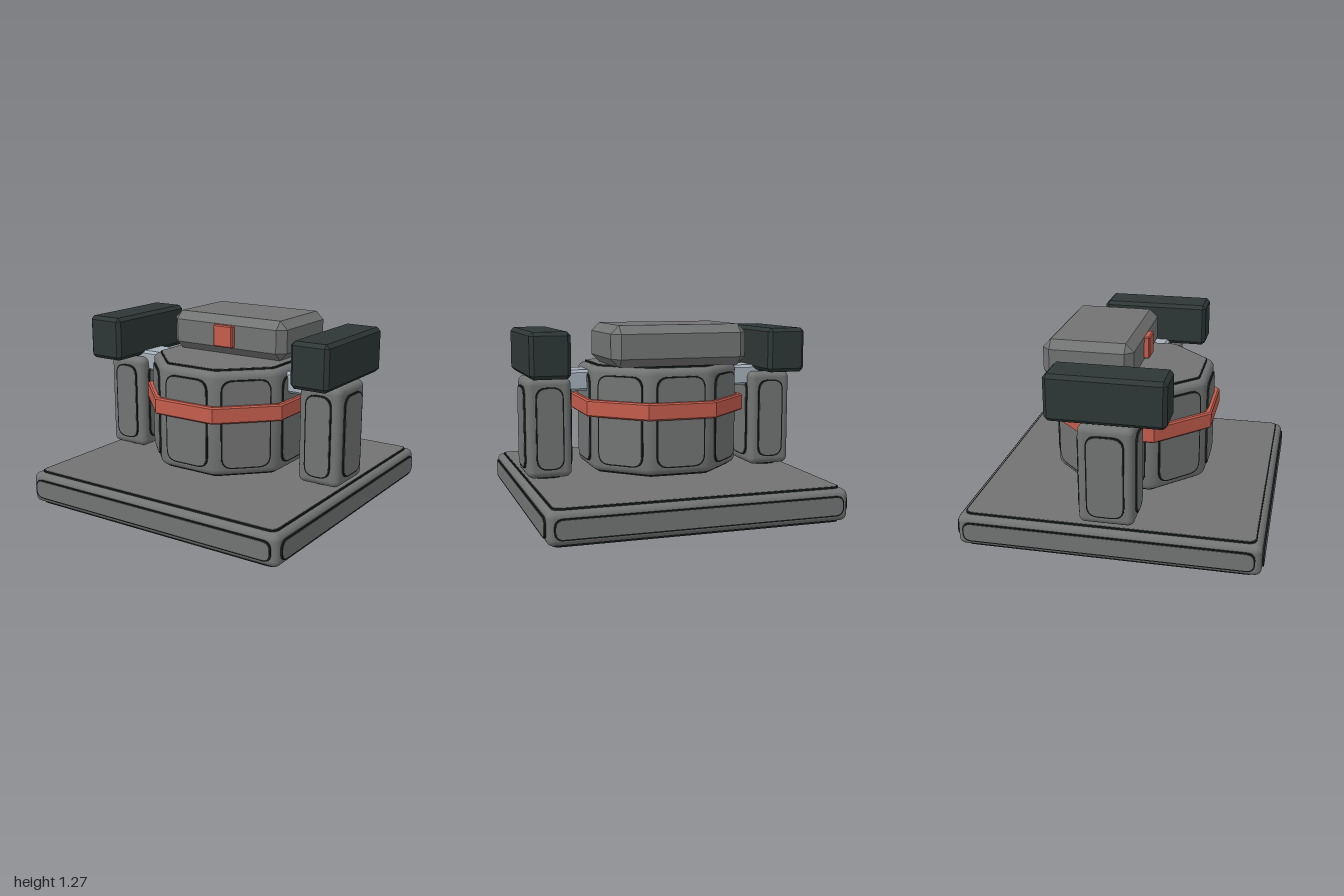
import * as THREE from 'three';
import { toCreasedNormals } from 'three/addons/utils/BufferGeometryUtils.js';
import { RoundedBoxGeometry } from 'three/addons/geometries/RoundedBoxGeometry.js';
import { ConvexGeometry } from 'three/addons/geometries/ConvexGeometry.js';

function material(name, color) {
  const m = new THREE.MeshStandardMaterial({ color });
  m.name = name;
  return m;
}

// Closed outline with softened corners
function roundedPoly(points, r) {
  const shape = new THREE.Shape();
  points.forEach((p, i) => {
    const before = points[(i + points.length - 1) % points.length];
    const after = points[(i + 1) % points.length];
    const a = p.clone().add(before.clone().sub(p).setLength(r));
    const b = p.clone().add(after.clone().sub(p).setLength(r));
    if (i === 0) shape.moveTo(a.x, a.y);
    else shape.lineTo(a.x, a.y);
    shape.quadraticCurveTo(p.x, p.y, b.x, b.y);
  });
  shape.closePath();
  return shape;
}

function rectPoints(w, h) {
  return [[-1, -1], [1, -1], [1, 1], [-1, 1]].map(([x, y]) => new THREE.Vector2(x * w / 2, y * h / 2));
}

// Octagon given by the distance from its centre to its flats
function octagonPoints(apothem) {
  const radius = apothem / Math.cos(Math.PI / 8);
  return Array.from({ length: 8 }, (_, i) => {
    const a = Math.PI / 8 + i * Math.PI / 4;
    return new THREE.Vector2(radius * Math.cos(a), radius * Math.sin(a));
  });
}

// Box with a single flat chamfer on every edge
function chamferBox(w, h, d, c) {
  const points = [];
  for (const x of [-1, 1]) for (const y of [-1, 1]) for (const z of [-1, 1]) {
    points.push(
      new THREE.Vector3(x * w / 2, y * (h / 2 - c), z * (d / 2 - c)),
      new THREE.Vector3(x * (w / 2 - c), y * h / 2, z * (d / 2 - c)),
      new THREE.Vector3(x * (w / 2 - c), y * (h / 2 - c), z * d / 2));
  }
  return new ConvexGeometry(points);
}

export function createModel() {
  const stone = material('stone grey', 0x727373);
  const groove = material('groove black', 0x1b1f1f);
  const red = material('band red', 0xc45c4c);
  const dark = material('dark slate', 0x2e3736);
  const steel = material('pale steel', 0xa5b0ba);

  const model = new THREE.Group();
  model.name = 'turret';

  function add(parent, name, geometry, mat, x = 0, y = 0, z = 0) {
    const mesh = new THREE.Mesh(geometry, mat);
    mesh.name = name;
    mesh.position.set(x, y, z);
    parent.add(mesh);
    return mesh;
  }

  // Raised panel facing +z: black rim plate with a grey face on it
  function panel(outer, inner) {
    const group = new THREE.Group();
    group.name = 'panel';
    const plate = (shape, depth) => new THREE.ExtrudeGeometry(shape, { depth, bevelEnabled: false, curveSegments: 6 });
    add(group, 'panelRim', plate(outer, 0.019), groove, 0, 0, -0.009);
    add(group, 'panelFace', plate(inner, 0.002), stone, 0, 0, 0.01);
    return group;
  }

  const rectPanel = (w, h, r) => panel(
    roundedPoly(rectPoints(w, h), r),
    roundedPoly(rectPoints(w - 0.018, h - 0.018), r - 0.006));

  const octagonPanel = (apothem) => panel(
    roundedPoly(octagonPoints(apothem), 0.02),
    roundedPoly(octagonPoints(apothem - 0.009), 0.02));

  // Rounded block with a panel on each of its six faces
  function panelledBlock(name, w, h, d, margin, r) {
    const group = new THREE.Group();
    group.name = name;
    add(group, name + 'Body', new RoundedBoxGeometry(w, h, d, 4, 0.045), stone);
    for (let i = 0; i < 4; i++) {
      const [width, depth] = i % 2 ? [d, w] : [w, d];
      const side = rectPanel(width - 2 * margin, h - 2 * margin, r);
      const a = i * Math.PI / 2;
      side.rotation.y = a;
      side.position.set(Math.sin(a) * depth / 2, 0, Math.cos(a) * depth / 2);
      group.add(side);
    }
    for (const s of [-1, 1]) {
      const cap = rectPanel(w - 2 * margin, d - 2 * margin, r);
      cap.rotation.x = -s * Math.PI / 2;
      cap.position.y = s * h / 2;
      group.add(cap);
    }
    return group;
  }

  // Square base
  const base = panelledBlock('base', 1.976, 0.212, 1.976, 0.04, 0.055);
  base.position.y = 0.118;
  model.add(base);

  // Octagonal drum
  const drum = new THREE.Group();
  drum.name = 'drum';
  const bevel = 0.045;
  const drumShape = roundedPoly(octagonPoints(0.518 - bevel), 0.03);
  const drumGeometry = toCreasedNormals(new THREE.ExtrudeGeometry(drumShape, {
    depth: 0.706 - 2 * bevel, bevelThickness: bevel, bevelSize: bevel, bevelSegments: 4, curveSegments: 4,
  }), 0.6);
  drumGeometry.rotateX(-Math.PI / 2);
  add(drum, 'drumBody', drumGeometry, stone, 0, 0.287 + bevel, 0);
  for (let i = 0; i < 8; i++) {
    const side = rectPanel(0.335, 0.6, 0.08);
    const a = i * Math.PI / 4;
    side.rotation.y = a;
    side.position.set(Math.sin(a) * 0.518, 0.64, Math.cos(a) * 0.518);
    drum.add(side);
  }
  for (const s of [-1, 1]) {
    const cap = octagonPanel(0.47);
    cap.rotation.x = -s * Math.PI / 2;
    cap.position.y = s > 0 ? 0.993 : 0.287;
    drum.add(cap);
  }
  model.add(drum);

  // Red band around the drum
  const bandShape = new THREE.Shape(octagonPoints(0.55));
  bandShape.holes.push(new THREE.Path(octagonPoints(0.525).reverse()));
  const bandGeometry = new THREE.ExtrudeGeometry(bandShape, {
    depth: 0.094, bevelThickness: 0.01, bevelSize: 0.01, bevelSegments: 1,
  });
  bandGeometry.rotateX(-Math.PI / 2);
  add(model, 'band', bandGeometry, red, 0, 0.67, 0);

  // Head block and its red front marker
  add(model, 'head', chamferBox(0.925, 0.27, 0.61, 0.055), stone, 0, 1.14, -0.235);
  add(model, 'headMarker', chamferBox(0.154, 0.154, 0.08, 0.008), red, 0, 1.142, 0.067);

  // Pillars, connecting arms and side pods
  for (const [side, s] of [['left', 1], ['right', -1]]) {
    const pillar = panelledBlock(side + 'Pillar', 0.304, 0.67, 0.36, 0.058, 0.075);
    pillar.position.set(s * 0.8, 0.582, 0);
    model.add(pillar);
    add(model, side + 'Arm', chamferBox(0.4, 0.145, 0.225, 0.018), steel, s * 0.62, 0.89, 0);
    add(model, side + 'Pod', chamferBox(0.27, 0.305, 0.765, 0.025), dark, s * 0.827, 1.082, 0);
  }

  return model;
}
